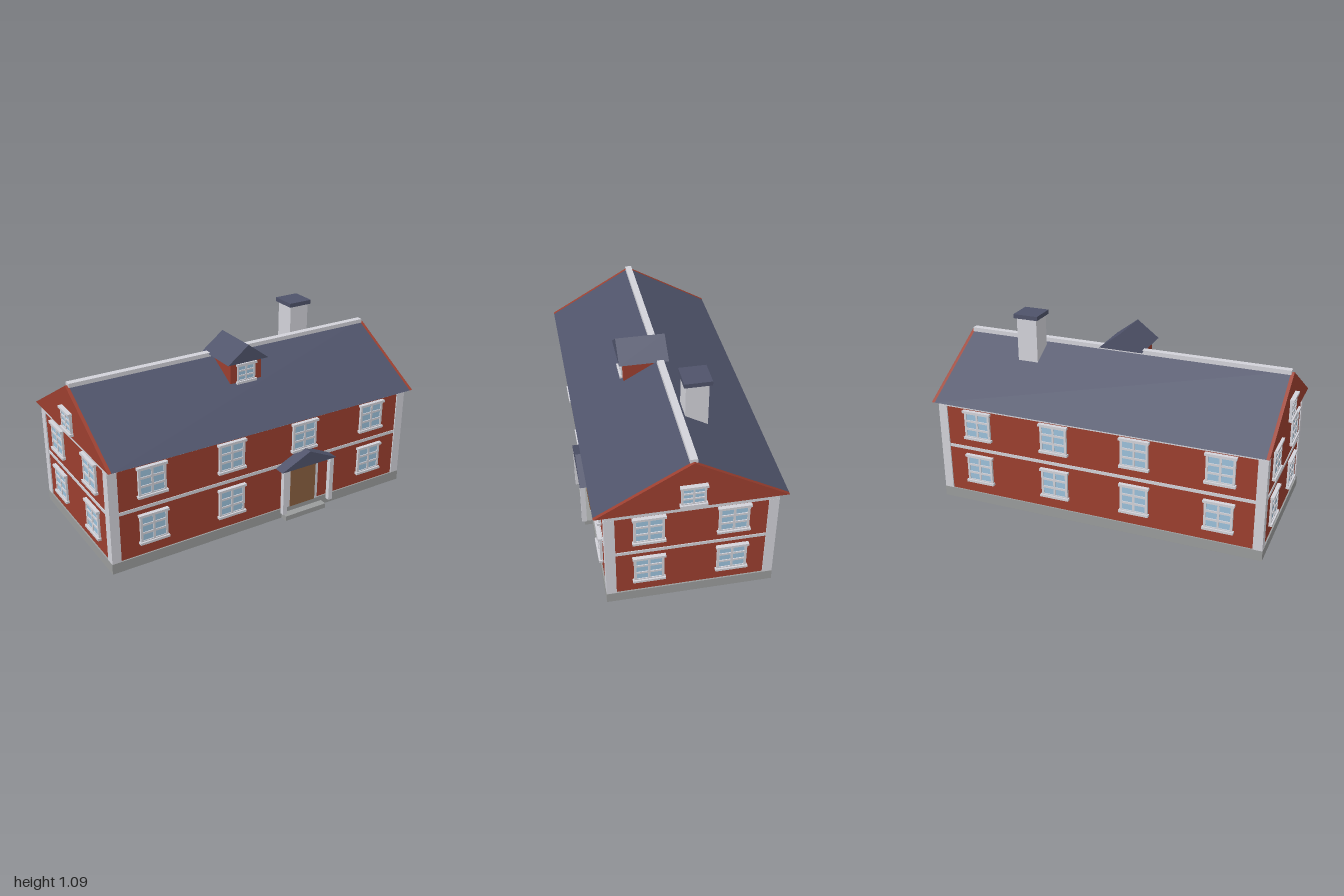
import * as THREE from 'three';

const mat = (name, color) => new THREE.MeshStandardMaterial({ name, color });

export function createModel() {
  const red = mat('red wall', 0x9c3f2f);
  const white = mat('white trim', 0xd3d3da);
  const slate = mat('slate roof', 0x4f536a);
  const stone = mat('stone base', 0x9a9c9c);
  const glass = mat('window glass', 0x9cc2dc);
  const wood = mat('door wood', 0x8a6040);

  const house = new THREE.Group();
  house.name = 'house';
  const CZ = -0.0045; // centre of the house body in z

  // Box given by its minimum and maximum on each axis
  const box = (name, m, [x0, x1], [y0, y1], [z0, z1], parent = house) => {
    const mesh = new THREE.Mesh(new THREE.BoxGeometry(x1 - x0, y1 - y0, z1 - z0), m);
    mesh.position.set((x0 + x1) / 2, (y0 + y1) / 2, (z0 + z1) / 2);
    mesh.name = name;
    parent.add(mesh);
    return mesh;
  };

  // Triangular prism with its length along z, from z0 to z1
  const prism = (name, m, cx, half, y0, y1, z0, z1, parent = house) => {
    const s = new THREE.Shape();
    s.moveTo(-half, y0).lineTo(half, y0).lineTo(0, y1).closePath();
    const geo = new THREE.ExtrudeGeometry(s, { depth: z1 - z0, bevelEnabled: false });
    const mesh = new THREE.Mesh(geo, m);
    mesh.position.set(cx, 0, z0);
    mesh.name = name;
    parent.add(mesh);
    return mesh;
  };

  const rect = (target, x0, y0, x1, y1) =>
    target.moveTo(x0, y0).lineTo(x1, y0).lineTo(x1, y1).lineTo(x0, y1).closePath();

  // Six-pane window, centred on its origin and facing +z; w and h include head and sill
  const makeWindow = (name, w, h, depth) => {
    const g = new THREE.Group();
    g.name = name;
    const lip = 0.014, edge = w * 0.075, bar = w * 0.07;
    const hw = w / 2 - 0.007, hh = h / 2;
    const pw = (2 * hw - 2 * edge - bar) / 2;
    const ph = (h - 2 * lip - 0.012 - 2 * bar) / 3;
    const frame = rect(new THREE.Shape(), -hw, -hh, hw, hh);
    for (let c = 0; c < 2; c++) {
      for (let r = 0; r < 3; r++) {
        const x = -hw + edge + c * (pw + bar);
        const y = -hh + lip + 0.006 + r * (ph + bar);
        frame.holes.push(rect(new THREE.Path(), x, y, x + pw, y + ph));
      }
    }
    const sash = new THREE.Mesh(
      new THREE.ExtrudeGeometry(frame, { depth, bevelEnabled: false }), white);
    sash.name = 'windowFrame';
    g.add(sash);
    box('windowPanes', glass, [-hw + 0.004, hw - 0.004], [-hh + 0.005, hh - 0.005], [0, depth - 0.005], g);
    for (const [part, y] of [['windowHead', hh - lip], ['windowSill', -hh]])
      box(part, white, [-w / 2, w / 2], [y, y + lip], [0, depth + 0.009], g);
    house.add(g);
    return g;
  };

  // Base, walls, corner posts and horizontal trim
  const HX = 0.965, HZ = 0.449, WX = 0.957, WZ = 0.441;
  const zs = (h) => [CZ - h, CZ + h];
  box('foundation', stone, [-HX, HX], [0, 0.06], zs(HZ));
  box('walls', red, [-WX, WX], [0.06, 0.625], zs(WZ));
  box('beltTrim', white, [-0.961, 0.961], [0.333, 0.352], zs(0.445));
  box('eaveTrim', white, [-0.963, 0.963], [0.59, 0.622], zs(0.447));
  for (const sx of [-1, 1]) {
    for (const sz of [-1, 1]) {
      const x = sx * 0.937, z = CZ + sz * 0.4215;
      box('cornerPost', white, [x - 0.0265, x + 0.0265], [0.06, 0.59], [z - 0.0265, z + 0.0265]);
    }
  }

  // Main roof with red gable ends and white ridge
  const roof = new THREE.Group();
  roof.name = 'mainRoof';
  roof.rotation.y = Math.PI / 2;
  roof.position.z = -0.002;
  house.add(roof);
  prism('roofSlopes', slate, 0, 0.497, 0.622, 0.908, -0.958, 0.958, roof);
  prism('gableEnd', red, 0, 0.497, 0.622, 0.908, 0.958, 0.976, roof);
  prism('gableEnd', red, 0, 0.497, 0.622, 0.908, -0.976, -0.958, roof);
  box('roofRidge', white, [-0.963, 0.963], [0.893, 0.921], [-0.022, 0.016]);

  // Windows on the long sides; the door takes one place on the front
  for (const side of [1, -1]) {
    for (let i = 0; i < 4; i++) {
      for (const y of [0.218, 0.495]) {
        if (side === 1 && i === 2 && y < 0.3) continue;
        const w = makeWindow('longSideWindow', 0.174, 0.177, 0.014);
        w.position.set(-0.717 + i * 0.4775, y, CZ + side * WZ);
        if (side < 0) w.rotation.y = Math.PI;
      }
    }
  }

  // Windows on the short sides and in the gables
  for (const side of [1, -1]) {
    for (const z of [0.217, -0.222]) {
      for (const y of [0.218, 0.495]) {
        const w = makeWindow('endWindow', 0.174, 0.177, 0.012);
        w.position.set(side * WX, y, z);
        w.rotation.y = side * Math.PI / 2;
      }
    }
    const w = makeWindow('gableWindow', 0.14, 0.13, 0.015);
    w.position.set(side * 0.976, 0.71, -0.002);
    w.rotation.y = side * Math.PI / 2;
  }

  // Roof dormer
  box('dormerWalls', red, [-0.1, 0.1], [0.785, 0.914], [0, 0.2]);
  prism('dormerRoof', slate, 0, 0.13, 0.914, 1.012, -0.05, 0.227);
  makeWindow('dormerWindow', 0.13, 0.118, 0.007).position.set(0, 0.845, 0.2);

  // Chimney
  box('chimney', white, [0.464, 0.586], [0.78, 1.07], [-0.163, -0.041]);
  box('chimneyCap', slate, [0.451, 0.599], [1.07, 1.094], [-0.177, -0.029]);

  // Door, porch and step
  const PX = 0.237, wallZ = CZ + WZ;
  box('door', wood, [PX - 0.087, PX + 0.087], [0.06, 0.307], [wallZ, wallZ + 0.012]);
  for (const s of [-1, 1]) {
    const j = PX + s * 0.096, p = PX + s * 0.16;
    box('doorJamb', white, [j - 0.01, j + 0.01], [0.06, 0.324], [wallZ, wallZ + 0.01]);
    box('porchPost', white, [p - 0.0135, p + 0.0135], [0.06, 0.333], [0.478, 0.505]);
  }
  box('doorLintel', white, [PX - 0.106, PX + 0.106], [0.305, 0.324], [wallZ, wallZ + 0.0105]);
  prism('porchRoof', slate, PX, 0.187, 0.333, 0.42, wallZ, 0.507);
  box('doorStep', stone, [PX - 0.14, PX + 0.14], [0, 0.03], [0.44, 0.488]);

  return house;
}
